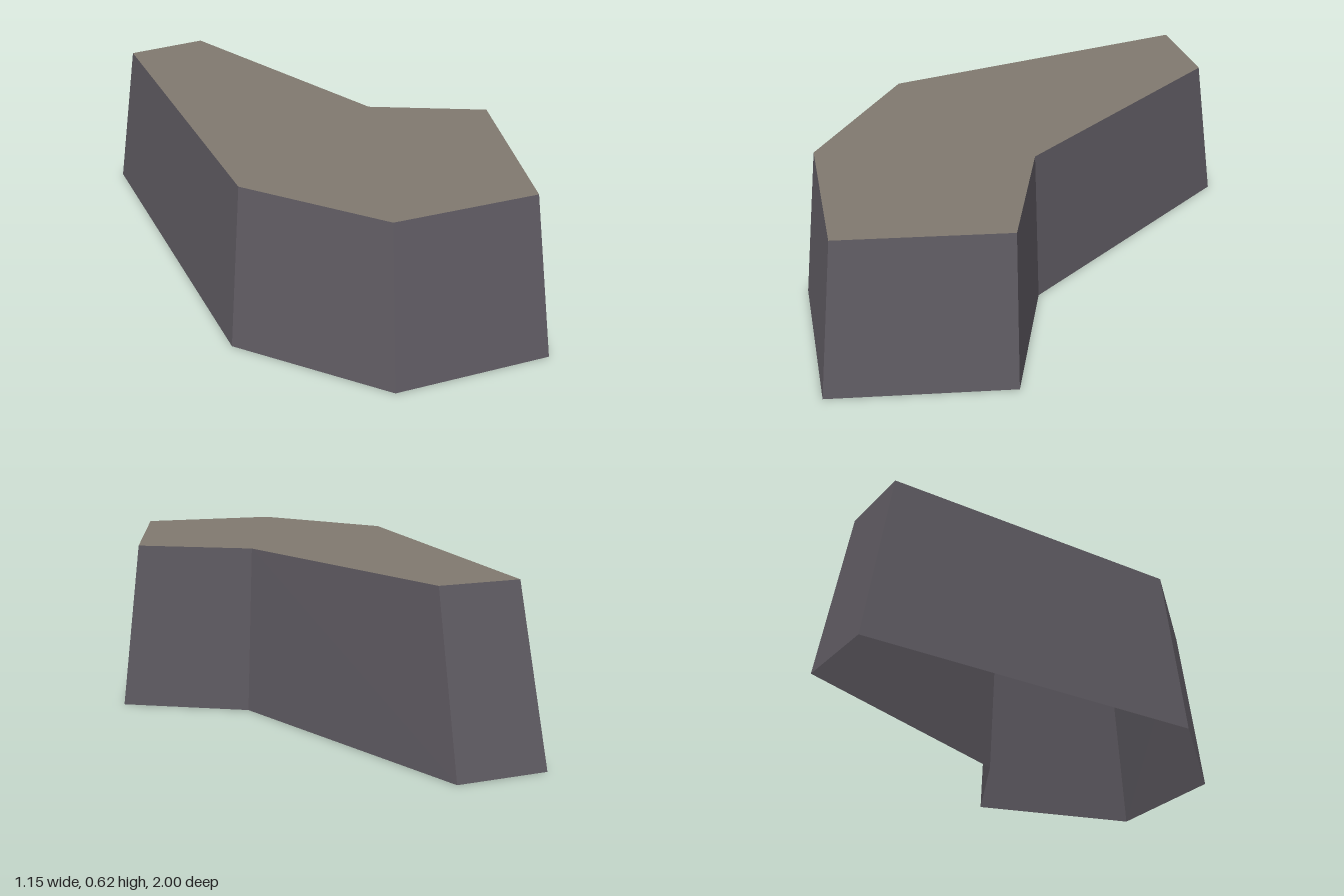
import * as THREE from 'three';

// Footprint corners (x, z), going round from the narrow back end
const FOOTPRINT = [
  [-0.25, -1], [0.068, -0.915], [0.22, 0.09], [0.577, 0.425],
  [0.23, 1], [-0.305, 0.793], [-0.577, 0.25],
];
const HEIGHT = 0.622;

export function createModel() {
  const model = new THREE.Group();
  model.name = 'rockPlateau';
  const wallMaterial = new THREE.MeshStandardMaterial({ color: 0x5e5a61, side: THREE.DoubleSide, flatShading: true });
  wallMaterial.name = 'dark grey rock';
  const topMaterial = new THREE.MeshStandardMaterial({ color: 0x80796f, side: THREE.DoubleSide, flatShading: true });
  topMaterial.name = 'warm grey ground';

  // The walls lean inwards to a slightly smaller rim
  const rim = FOOTPRINT.map(([x, z]) => [x * 0.882, z * 0.879 + 0.013]);

  // Sloping walls, open underneath: one quad per footprint edge
  const positions = [];
  FOOTPRINT.forEach(([ax, az], i) => {
    const j = (i + 1) % FOOTPRINT.length;
    const a = [ax, 0, az];
    const b = [FOOTPRINT[j][0], 0, FOOTPRINT[j][1]];
    const c = [rim[j][0], HEIGHT, rim[j][1]];
    const d = [rim[i][0], HEIGHT, rim[i][1]];
    positions.push(...a, ...c, ...b, ...a, ...d, ...c);
  });
  const wallGeometry = new THREE.BufferGeometry();
  wallGeometry.setAttribute('position', new THREE.Float32BufferAttribute(positions, 3));
  wallGeometry.computeVertexNormals();
  const walls = new THREE.Mesh(wallGeometry, wallMaterial);
  walls.name = 'walls';

  // Flat top surface filling the rim
  const outline = new THREE.Shape(rim.map(([x, z]) => new THREE.Vector2(x, -z)));
  const topGeometry = new THREE.ShapeGeometry(outline).rotateX(-Math.PI / 2).translate(0, HEIGHT, 0);
  const top = new THREE.Mesh(topGeometry, topMaterial);
  top.name = 'top';

  model.add(walls, top);
  return model;
}
